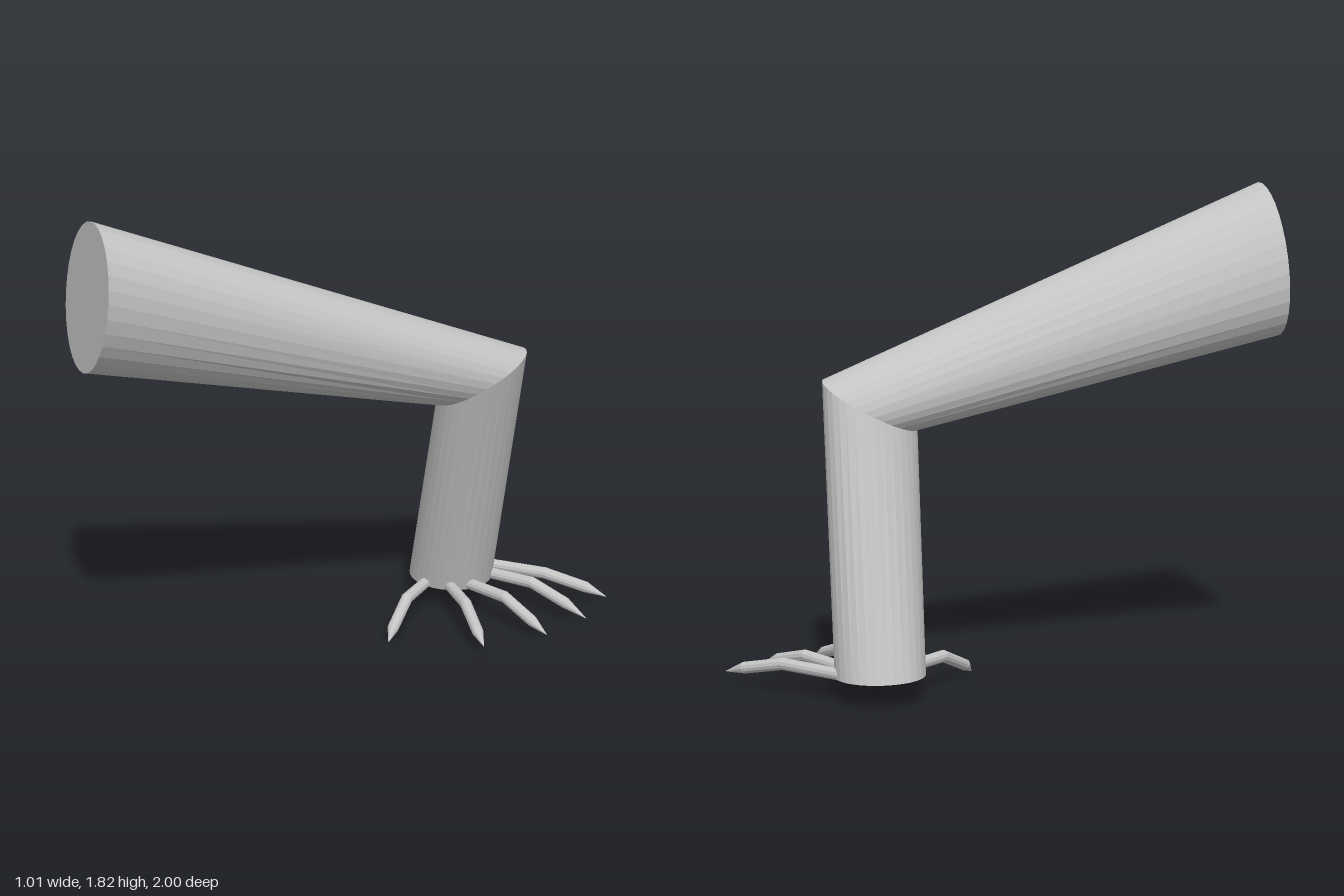
import * as THREE from 'three';

const V = (a) => new THREE.Vector3(...a);

// Closed skin through elliptical rings; each ring is { c: centre, u, v: half-axes }
function loft(rings, sides) {
  const pos = [], idx = [];
  for (const { c, u, v } of rings) {
    for (let i = 0; i < sides; i++) {
      const t = (i / sides) * Math.PI * 2;
      const p = c.clone().addScaledVector(u, Math.cos(t)).addScaledVector(v, Math.sin(t));
      pos.push(p.x, p.y, p.z);
    }
  }
  const first = rings.length * sides, last = first + 1, top = first - sides;
  pos.push(...rings[0].c.toArray(), ...rings[rings.length - 1].c.toArray());
  for (let i = 0; i < sides; i++) {
    const j = (i + 1) % sides;
    for (let r = 0; r < rings.length - 1; r++) {
      const a = r * sides + i, b = r * sides + j;
      idx.push(a, a + sides, b, b, a + sides, b + sides);
    }
    idx.push(first, i, j, last, top + j, top + i);
  }
  const g = new THREE.BufferGeometry();
  g.setAttribute('position', new THREE.Float32BufferAttribute(pos, 3));
  g.setIndex(idx);
  const flat = g.toNonIndexed();
  flat.computeVertexNormals();
  return flat;
}

// Toe: round tube along base, knuckle and claw root, narrowing to a point
function toe(points) {
  const p = points.map(V);
  const radii = [0.022, 0.023, 0.022, 0.001];
  const rings = p.map((c, i) => {
    const d = p[Math.min(i + 1, 3)].clone().sub(p[Math.max(i - 1, 0)]).normalize();
    const side = new THREE.Vector3(0, 1, 0).cross(d).normalize();
    const v = side.clone().cross(d);
    return { c, u: side.multiplyScalar(radii[i]), v: v.multiplyScalar(radii[i]) };
  });
  return loft(rings, 12);
}

export function createModel() {
  const group = new THREE.Group();
  group.name = 'leg';
  const grey = new THREE.MeshStandardMaterial({ color: 0xc4c4c4 });
  grey.name = 'grey';

  const add = (name, geometry) => {
    const mesh = new THREE.Mesh(geometry, grey);
    mesh.name = name;
    group.add(mesh);
  };

  // Shin and thigh share one slanted ring at the knee
  const ring = (c, u, v) => ({ c: V(c), u: V(u), v: V(v) });
  add('shinAndThigh', loft([
    ring([-0.083, 0.087, -0.637], [0.166, -0.004, 0], [0, 0, 0.165]),
    ring([0.196, 1.032, -0.51], [0.158, 0.058, 0], [0, -0.074, 0.18]),
    ring([-0.305, 1.537, 0.94], [0.1985, 0.1435, 0.049], [0.051, -0.2485, 0.0285]),
  ], 32));

  // Five toes fanned out from the sole: base, knuckle, claw root, tip
  const toes = [
    [[-0.06, 0.1, -0.77], [0.2, 0.105, -0.885], [0.35, 0.07, -0.965], [0.43, 0.045, -1.0]],
    [[-0.02, 0.1, -0.71], [0.24, 0.112, -0.77], [0.4, 0.07, -0.797], [0.5, 0.035, -0.81]],
    [[-0.02, 0.1, -0.59], [0.27, 0.115, -0.59], [0.42, 0.065, -0.59], [0.5, 0.035, -0.59]],
    [[-0.04, 0.1, -0.555], [0.2, 0.108, -0.445], [0.35, 0.065, -0.365], [0.42, 0.04, -0.33]],
    [[-0.08, 0.1, -0.53], [0.0, 0.1, -0.32], [0.065, 0.035, -0.185], [0.09, 0.0, -0.14]],
  ];
  toes.forEach((points, i) => add(`toe${i + 1}`, toe(points)));
  return group;
}
